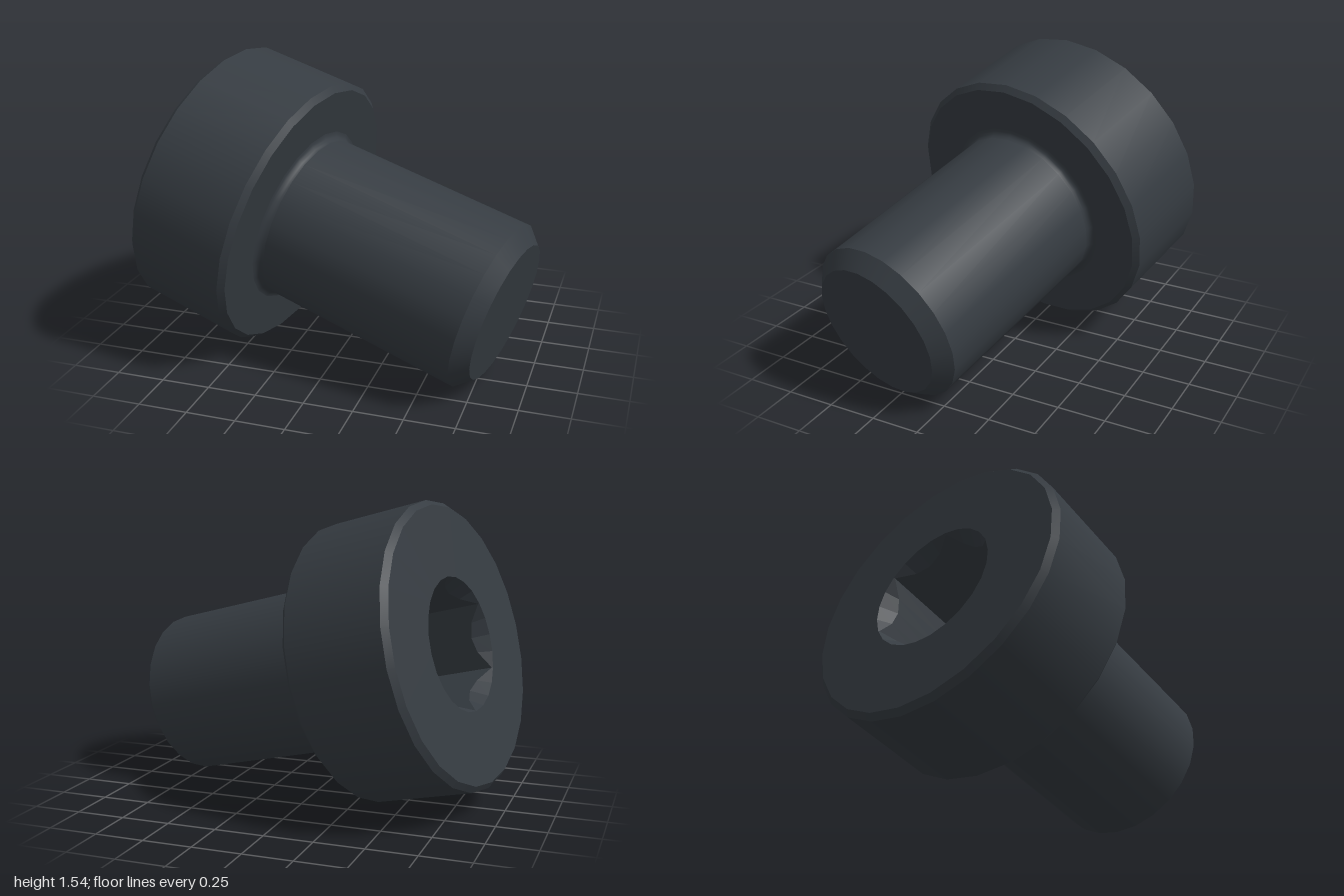
import * as THREE from 'three';

const SIDES = 24;
const steel = new THREE.MeshStandardMaterial({ color: 0x363c42 });
steel.name = 'dark steel';

// Surface of revolution; each call is smooth inside and sharp at its ends
function turned(name, ...points) {
  const profile = points.map(([r, y]) => new THREE.Vector2(r, y));
  const mesh = new THREE.Mesh(new THREE.LatheGeometry(profile, SIDES), steel);
  mesh.name = name;
  return mesh;
}

// Hexagonal recess with a conical lead-in, built from rings
function socket(rimR, apothem, depth) {
  const step = (Math.PI * 2) / SIDES;
  const at = (i, r, y) => [r * Math.sin(i * step), y, r * Math.cos(i * step)];
  const hexR = (i) => apothem / Math.cos(((i % 4) * step) - Math.PI / 6);
  const lead = (i) => -(rimR - hexR(i)) * Math.sqrt(3);
  const rings = [
    (i) => at(i, rimR, 0),
    (i) => at(i, hexR(i), lead(i)),
    (i) => at(i, hexR(i), -depth),
  ];
  const pos = [];
  for (let i = 0; i < SIDES; i++) {
    for (let k = 0; k < 2; k++) {
      const a = rings[k](i), b = rings[k](i + 1);
      const c = rings[k + 1](i + 1), d = rings[k + 1](i);
      pos.push(...a, ...b, ...c, ...a, ...c, ...d);
    }
    pos.push(...rings[2](i), ...rings[2](i + 1), 0, -depth, 0);
  }
  const geo = new THREE.BufferGeometry();
  geo.setAttribute('position', new THREE.Float32BufferAttribute(pos, 3));
  geo.computeVertexNormals();
  const mesh = new THREE.Mesh(geo, steel);
  mesh.name = 'hexSocket';
  return mesh;
}

export function createModel() {
  const R = 0.726, r = 0.436;      // head and shank radii
  const headH = 0.58, len = 1.75;  // head height and overall length
  const c = 0.028, tip = 0.075;    // chamfers
  const f = 0.036, rim = 0.338;    // neck fillet, socket mouth

  const head = new THREE.Group();
  head.name = 'head';
  head.add(
    turned('headUnderside', [r + f, -headH], [R - c, -headH]),
    turned('headLowerChamfer', [R - c, -headH], [R, -headH + c]),
    turned('headSide', [R, -headH + c], [R, -c]),
    turned('headUpperChamfer', [R, -c], [R - c, 0]),
    turned('headFace', [R - c, 0], [rim, 0]),
    socket(rim, 0.29, 0.4),
  );

  // Quarter-round neck between shank and head
  const fillet = [];
  for (let i = 0; i <= 4; i++) {
    const a = (i / 4) * Math.PI / 2;
    fillet.push([r + f - f * Math.cos(a), -headH - f + f * Math.sin(a)]);
  }

  const shank = new THREE.Group();
  shank.name = 'shank';
  shank.add(
    turned('shankEnd', [0, -len], [r - tip, -len]),
    turned('shankChamfer', [r - tip, -len], [r, -len + tip]),
    turned('shankSide', [r, -len + tip], [r, -headH - f]),
    turned('neckFillet', ...fillet),
  );

  // Tilted pose: local y runs from the shank end to the head face
  const bolt = new THREE.Group();
  bolt.name = 'bolt';
  bolt.add(head, shank);
  const Y = new THREE.Vector3(-1, 0.268, -0.212).normalize();
  const X = Y.clone().cross(new THREE.Vector3(-0.303, -0.483, 0.822)).normalize();
  const Z = X.clone().cross(Y);
  bolt.quaternion.setFromRotationMatrix(new THREE.Matrix4().makeBasis(X, Y, Z));
  bolt.position.set(-0.774, 0.844, -0.058);

  const model = new THREE.Group();
  model.name = 'socketHeadBolt';
  model.add(bolt);
  return model;
}
